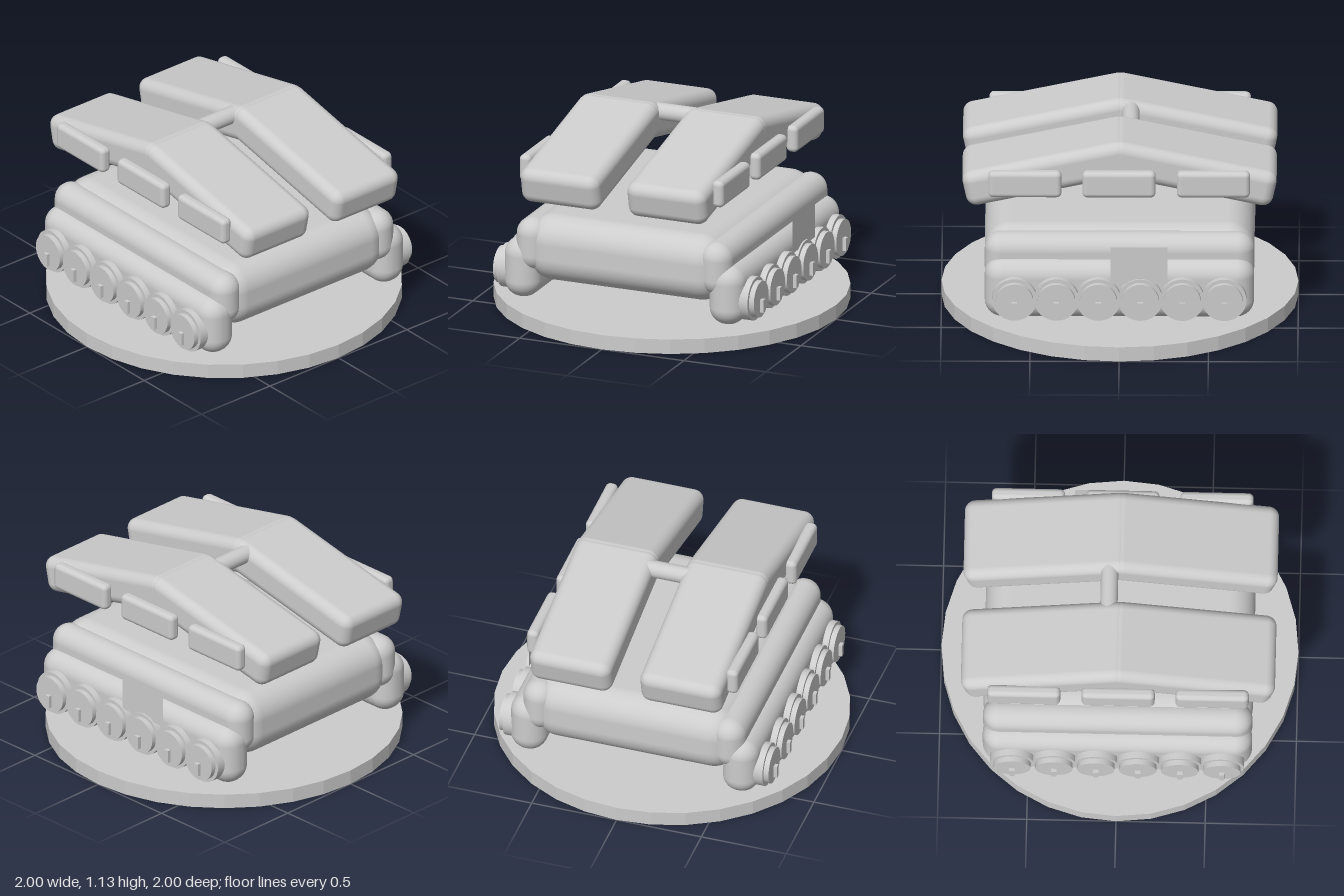
import * as THREE from 'three';
import { RoundedBoxGeometry } from 'three/addons/geometries/RoundedBoxGeometry.js';

export function createModel() {
  const grey = new THREE.MeshStandardMaterial({ color: 0xcccccc });
  grey.name = 'grey';
  const greySheet = new THREE.MeshStandardMaterial({ color: 0xcccccc, side: THREE.DoubleSide });
  greySheet.name = 'grey sheet';

  const model = new THREE.Group();
  model.name = 'hoverTank';

  function add(name, geometry, x, y, z, parent = model) {
    const mesh = new THREE.Mesh(geometry, grey);
    mesh.name = name;
    mesh.position.set(x, y, z);
    parent.add(mesh);
    return mesh;
  }
  const rounded = (w, h, d, r, seg = 5) => new RoundedBoxGeometry(w, h, d, seg, r);
  // Cylinder lying along x
  const axle = (r, len, sides = 32) => new THREE.CylinderGeometry(r, r, len, sides).rotateZ(Math.PI / 2);

  // Faceted display disc
  const disc = new THREE.CylinderGeometry(1, 1, 0.085, 32).toNonIndexed();
  disc.computeVertexNormals();
  add('base', disc, 0, 0.0425, 0);

  // Hull
  add('hull', rounded(1.2, 0.385, 1.51, 0.15, 7), 0, 0.4325, 0);

  // Shared shapes for both sides
  const upperPod = rounded(0.19, 0.305, 1.51, 0.094, 6);
  const lowerPod = rounded(0.21, 0.35, 1.51, 0.1, 6);
  const slab = rounded(0.48, 0.21, 0.946, 0.06);
  const rail = rounded(0.07, 0.155, 0.41, 0.028, 4);
  const rim = axle(0.125, 0.12);
  const cap = axle(0.105, 0.04);
  const knob = new THREE.BoxGeometry(0.03, 0.075, 0.03);

  for (const s of [1, -1]) {
    // Side pods
    add('upperPod', upperPod, s * 0.56, 0.4525, 0);
    add('lowerPod', lowerPod, s * 0.624, 0.306, 0);

    // Wheels with hub cap and knob
    for (let i = 0; i < 6; i++) {
      const wheel = new THREE.Group();
      wheel.name = 'wheel';
      wheel.position.set(0, 0.275, 0.5875 - i * 0.235);
      add('rim', rim, s * 0.705, 0, 0, wheel);
      add('hubCap', cap, s * 0.775, 0, 0, wheel);
      add('knob', knob, s * 0.8, -0.037, 0, wheel);
      model.add(wheel);
    }

    // Sloping roof slabs, front and back
    for (const f of [1, -1]) {
      add('roofSlab', slab, s * 0.325, 0.94, f * 0.407).rotation.x = f * 0.21;
    }

    // Rails along the roof
    for (const z of [0.53, 0.003, -0.526]) add('roofRail', rail, s * 0.587, 0.907, z);
  }

  // Bar joining the roof halves
  add('crossBar', axle(0.049, 0.4), 0, 1.067, -0.06);

  // Thin panel on the left side
  const panel = add('sidePanel', new THREE.PlaneGeometry(0.32, 0.22), 0.755, 0.48, -0.11);
  panel.rotation.y = Math.PI / 2;
  panel.material = greySheet;

  return model;
}
